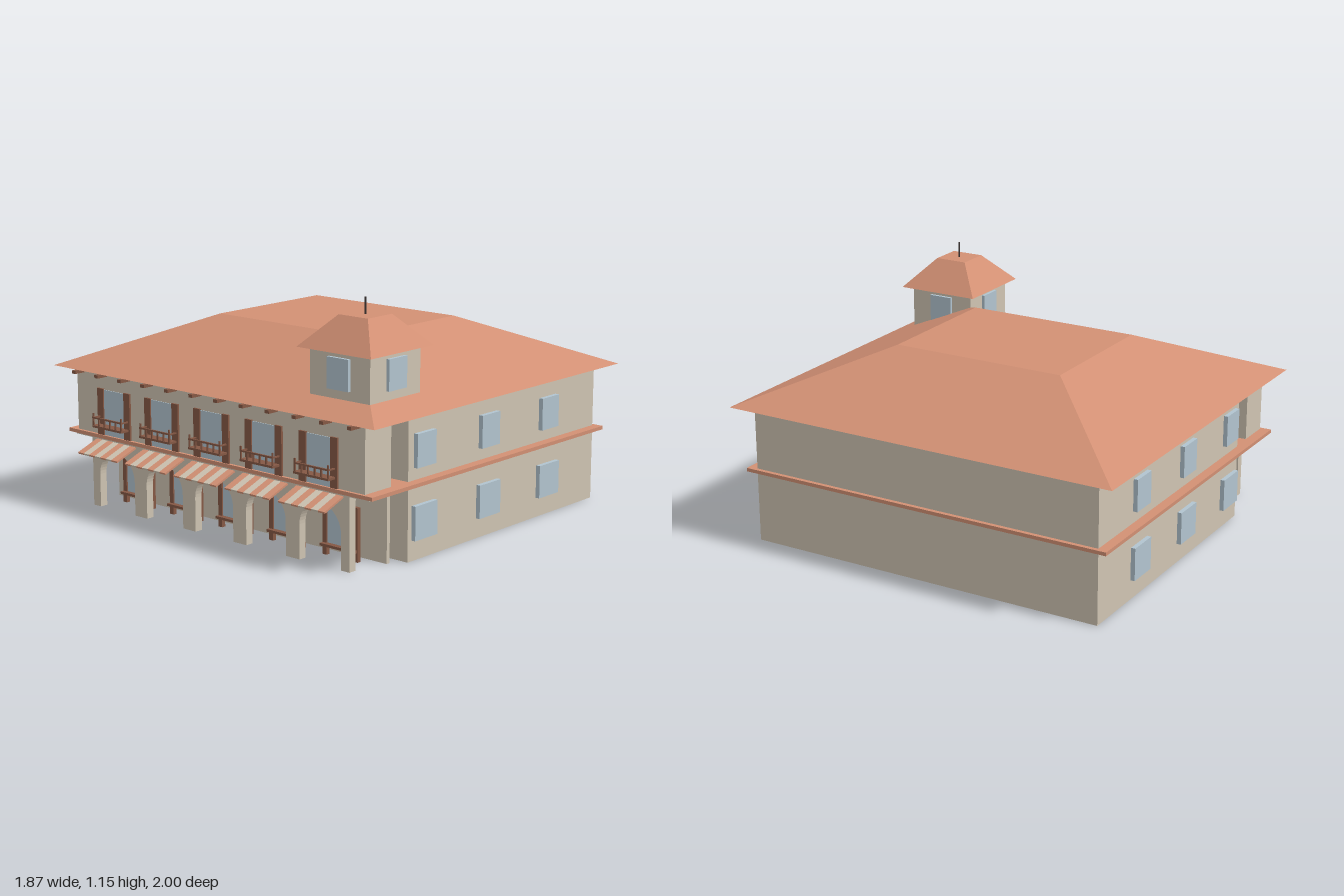
import * as THREE from 'three';

const material = (name, color) => {
  const m = new THREE.MeshStandardMaterial({ color });
  m.name = name;
  return m;
};

export function createModel() {
  const model = new THREE.Group();
  model.name = 'arcadeBuilding';
  const wall = material('wallBeige', 0xcfc4b2);
  const tile = material('terracotta', 0xd29074);
  const wood = material('darkWood', 0x855845);
  const glass = material('windowBlue', 0xb2c4cf);
  const metal = material('darkMetal', 0x3a3230);

  const add = (name, geometry, mat, parent = model) => {
    const mesh = new THREE.Mesh(geometry, mat);
    mesh.name = name;
    parent.add(mesh);
    return mesh;
  };
  // Box given by its limits on each axis
  const box = (name, mat, x0, x1, y0, y1, z0, z1, parent) => {
    const mesh = add(name, new THREE.BoxGeometry(x1 - x0, y1 - y0, z1 - z0), mat, parent);
    mesh.position.set((x0 + x1) / 2, (y0 + y1) / 2, (z0 + z1) / 2);
    return mesh;
  };
  // Hipped roof: a box whose top rectangle is smaller than its base
  const hip = (name, y0, y1, base, top) => {
    const g = new THREE.BoxGeometry(1, 1, 1);
    const p = g.attributes.position;
    for (let i = 0; i < p.count; i++) {
      const up = p.getY(i) > 0;
      const r = up ? top : base;
      p.setXYZ(i, p.getX(i) < 0 ? r[0] : r[1], up ? y1 : y0, p.getZ(i) < 0 ? r[2] : r[3]);
    }
    g.computeVertexNormals();
    add(name, g, tile);
  };

  // Main block, floor band and roof
  box('mainBlock', wall, -0.54, 0.865, 0, 0.665, -0.905, 0.905);
  box('floorBand', tile, -0.835, 0.885, 0.345, 0.362, -0.952, 0.952);
  box('arcadeCeiling', wall, -0.815, -0.48, 0.334, 0.345, -0.92, 0.92);
  hip('mainRoof', 0.668, 0.91, [-0.88, 0.93, -1, 1], [-0.32, 0.37, -0.435, 0.435]);

  // Windows on the front and back walls
  for (const s of [-1, 1]) {
    for (const x of [-0.437, 0.024, 0.484]) {
      const z0 = Math.min(s * 0.9, s * 0.926), z1 = Math.max(s * 0.9, s * 0.926);
      box('upperWindow', glass, x - 0.065, x + 0.065, 0.418, 0.57, z0, z1);
      box('lowerWindow', glass, x - 0.077, x + 0.077, 0.094, 0.25, z0, z1);
    }
  }

  // Tower with a window on each side, roof and mast
  const tx = -0.573, tz = 0.688;
  box('towerWalls', wall, tx - 0.167, tx + 0.167, 0.69, 0.937, tz - 0.17, tz + 0.17);
  box('towerWindowsFrontBack', glass, tx - 0.06, tx + 0.06, 0.77, 0.91, tz - 0.185, tz + 0.185);
  box('towerWindowsSides', glass, tx - 0.182, tx + 0.182, 0.77, 0.91, tz - 0.06, tz + 0.06);
  hip('towerRoof', 0.936, 1.075,
    [tx - 0.21, tx + 0.21, tz - 0.21, tz + 0.21],
    [tx - 0.08, tx + 0.08, tz - 0.082, tz + 0.082]);
  add('mast', new THREE.CylinderGeometry(0.004, 0.004, 0.085, 8), metal).position.set(tx, 1.108, tz);

  // Arcade wall with arched openings
  const bays = [-2, -1, 0, 1, 2].map((i) => i * 0.321);
  const arcade = new THREE.Shape();
  arcade.moveTo(-0.81, 0);
  for (const c of bays) {
    arcade.lineTo(c - 0.12, 0);
    arcade.lineTo(c - 0.12, 0.16);
    arcade.absarc(c, 0.16, 0.12, Math.PI, 0, true);
    arcade.lineTo(c + 0.12, 0);
  }
  arcade.lineTo(0.81, 0);
  arcade.lineTo(0.81, 0.336);
  arcade.lineTo(-0.81, 0.336);
  const arcadeGeometry = new THREE.ExtrudeGeometry(arcade, { depth: 0.04, bevelEnabled: false });
  arcadeGeometry.rotateY(-Math.PI / 2);
  add('arcadeWall', arcadeGeometry, wall).position.x = -0.775;
  box('shopWall', wall, -0.615, -0.595, 0, 0.31, -0.85, 0.85);

  // Upper gallery over the arcade
  box('galleryWall', wall, -0.82, -0.65, 0.36, 0.668, -0.9, 0.9);
  for (let i = 0; i < 12; i++) {
    const z = -0.86 + i * 0.1564;
    box('eaveBracket', wood, -0.878, -0.815, 0.645, 0.66, z - 0.012, z + 0.012);
  }

  for (const z of bays) {
    const bay = new THREE.Group();
    bay.name = 'bay';
    bay.position.z = z;
    model.add(bay);

    // Balcony door with open shutters
    box('balconyGlass', glass, -0.824, -0.815, 0.362, 0.58, -0.07, 0.07, bay);
    for (const s of [-1, 1]) {
      box('shutter', wood, -0.83, -0.815, 0.362, 0.585, s * 0.09 - 0.02, s * 0.09 + 0.02, bay);
    }

    // Balcony slab and railing
    box('balconySlab', wood, -0.875, -0.815, 0.404, 0.414, -0.1, 0.1, bay);
    box('balconyRail', wood, -0.874, -0.866, 0.447, 0.455, -0.1, 0.1, bay);
    for (let i = 0; i < 6; i++) {
      const p = -0.095 + i * 0.038;
      box('baluster', wood, -0.873, -0.867, 0.41, i % 5 ? 0.45 : 0.472, p - 0.004, p + 0.004, bay);
    }
    for (const s of [-1, 1]) {
      box('sideRail', wood, -0.87, -0.82, 0.447, 0.453, s * 0.096 - 0.004, s * 0.096 + 0.004, bay);
    }

    // Striped sloping awning
    for (let i = 0; i < 7; i++) {
      const stripe = add('awningStripe', new THREE.BoxGeometry(0.128, 0.009, 0.268 / 7), i % 2 ? wall : tile, bay);
      stripe.position.set(-0.876, 0.307, (i - 3) * 0.268 / 7);
      stripe.rotation.z = 0.36;
    }

    // Shop door frame, glass and sill under the arcade
    box('shopGlass', glass, -0.678, -0.672, 0.05, 0.235, -0.085, 0.085, bay);
    box('doorHead', wood, -0.685, -0.665, 0.23, 0.245, -0.1, 0.1, bay);
    box('doorSill', wood, -0.705, -0.665, 0.043, 0.055, -0.1, 0.1, bay);
    for (const s of [-1, 1]) {
      box('doorPost', wood, -0.685, -0.665, 0, 0.245, s * 0.09 - 0.012, s * 0.09 + 0.012, bay);
    }
  }
  return model;
}
